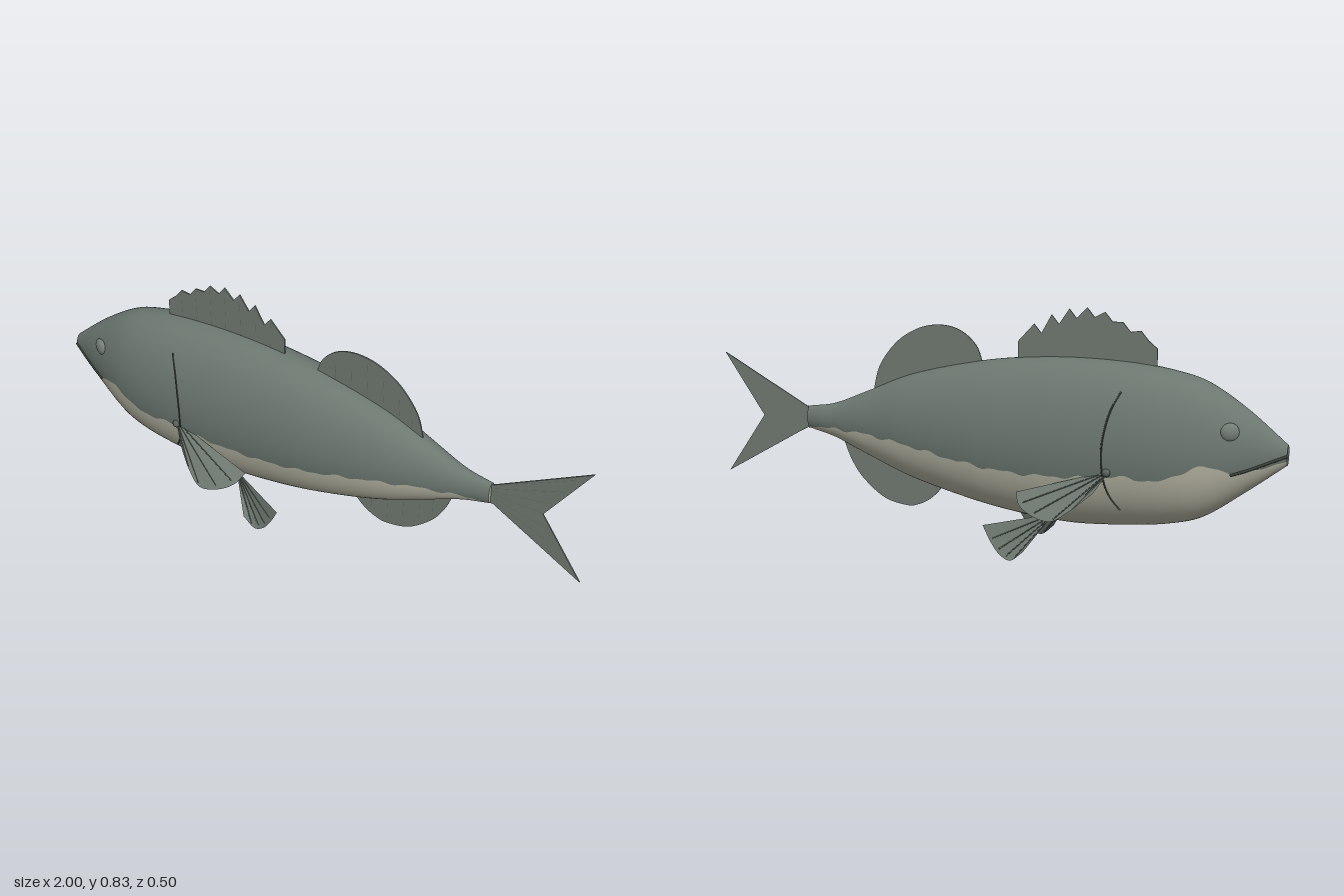
import * as THREE from 'three';

const mat = (name, color, side = THREE.FrontSide) => {
  const m = new THREE.MeshStandardMaterial({ color, side });
  m.name = name;
  return m;
};

// Body stations: x, top, bottom, half width, height of the belly colour line
const STATIONS = [
  [-1, 0.43, 0.365, 0.022, 0.385],
  [-0.87, 0.535, 0.265, 0.08, 0.345],
  [-0.74, 0.615, 0.175, 0.128, 0.365],
  [-0.63, 0.645, 0.142, 0.15, 0.315],
  [-0.5, 0.662, 0.125, 0.159, 0.318],
  [-0.31, 0.668, 0.114, 0.16, 0.302],
  [-0.12, 0.657, 0.13, 0.153, 0.3],
  [0.05, 0.632, 0.16, 0.142, 0.318],
  [0.28, 0.575, 0.22, 0.108, 0.355],
  [0.44, 0.508, 0.282, 0.07, 0.37],
  [0.57, 0.455, 0.335, 0.038, 0.37],
  [0.67, 0.438, 0.36, 0.02, 0.37],
];

// Smooth cubic interpolation of every station column at x
function section(x) {
  const S = STATIONS, n = S.length - 1;
  let i = 0;
  while (i < n - 1 && x > S[i + 1][0]) i++;
  const h = S[i + 1][0] - S[i][0], t = THREE.MathUtils.clamp((x - S[i][0]) / h, 0, 1);
  const slope = (k, c) => {
    const a = S[Math.max(0, k - 1)], b = S[Math.min(n, k + 1)];
    return (b[c] - a[c]) / (b[0] - a[0]);
  };
  const [top, bottom, w, line] = [1, 2, 3, 4].map((c) =>
    (1 + 2 * t) * (1 - t) ** 2 * S[i][c] + t * (1 - t) ** 2 * h * slope(i, c) +
    t * t * (3 - 2 * t) * S[i + 1][c] + t * t * (t - 1) * h * slope(i + 1, c));
  return { top, bottom, w, line, cy: (top + bottom) / 2, ry: (top - bottom) / 2 };
}

// Point on the flank at x, y
function onSkin(x, y, side, lift = 0) {
  const s = section(x), k = (y - s.cy) / s.ry;
  return new THREE.Vector3(x, y, side * (s.w * Math.sqrt(Math.max(0, 1 - k * k)) + lift));
}

// Elliptical loft; each ring has a belly arc and a back arc meeting at the colour line
function bodyGeometry() {
  const NX = 110, NB = 24, NT = 36, N = NB + NT;
  const pos = [], belly = [], back = [];
  for (let i = 0; i <= NX; i++) {
    const x = -1 + 1.67 * i / NX, s = section(x);
    const line = s.line + 0.004 * Math.sin(x * 47) + 0.003 * Math.sin(x * 83);
    const a = Math.acos(THREE.MathUtils.clamp((s.cy - line) / s.ry, -0.95, 0.95));
    for (let j = 0; j < N; j++) {
      const th = j <= NB ? -a + 2 * a * j / NB : a + (2 * Math.PI - 2 * a) * (j - NB) / NT;
      pos.push(x, s.cy - s.ry * Math.cos(th), s.w * Math.sin(th));
    }
  }
  for (let i = 0; i < NX; i++) for (let j = 0; j < N; j++) {
    const k = (j + 1) % N, p = i * N, q = p + N;
    (j < NB ? belly : back).push(p + j, q + j, q + k, p + j, q + k, p + k);
  }
  const g = new THREE.BufferGeometry();
  g.setAttribute('position', new THREE.Float32BufferAttribute(pos, 3));
  g.setIndex([...back, ...belly]);
  g.addGroup(0, back.length, 0);
  g.addGroup(back.length, belly.length, 1);
  g.computeVertexNormals();
  return g;
}

export function createModel() {
  const fish = new THREE.Group();
  fish.name = 'fish';
  const backMat = mat('backGreyGreen', 0x6c7770);
  const bellyMat = mat('bellyCream', 0xb4b3a2);
  const finMat = mat('finGrey', 0x6e7870, THREE.DoubleSide);
  const rayMat = mat('finRayGrey', 0x59625b);
  const eyeMat = mat('eyeGrey', 0x768078);
  const lineMat = mat('darkLine', 0x3a413d);

  const add = (name, geo, material, parent = fish) => {
    const m = new THREE.Mesh(geo, material);
    m.name = name;
    parent.add(m);
    return m;
  };
  const group = (name) => {
    const g = new THREE.Group();
    g.name = name;
    fish.add(g);
    return g;
  };
  const tube = (name, pts, r, material, parent) =>
    add(name, new THREE.TubeGeometry(new THREE.CatmullRomCurve3(pts), 32, r, 6), material, parent);
  const ray = (a, b, parent, r = 0.0028) =>
    add('finRay', new THREE.TubeGeometry(new THREE.LineCurve3(a, b), 1, r, 5), rayMat, parent);
  const V = (x, y, z = 0) => new THREE.Vector3(x, y, z);

  add('body', bodyGeometry(), [backMat, bellyMat]);

  // End caps of the loft
  for (const [name, x, turn, m] of [['snoutTip', -1, -1, backMat], ['tailRoot', 0.67, 1, bellyMat]]) {
    const s = section(x);
    const cap = add(name, new THREE.CircleGeometry(1, 32), m);
    cap.position.set(x, s.cy, 0);
    cap.rotation.y = turn * Math.PI / 2;
    cap.scale.set(s.w, s.ry, 1);
  }

  // Thin upright fins on the centre line
  const plate = (name, pts, smooth) => {
    const g = group(name), shape = new THREE.Shape();
    shape.moveTo(...pts[0]);
    if (smooth) shape.splineThru(pts.slice(1, smooth).map((p) => new THREE.Vector2(...p)));
    pts.slice(smooth || 1).forEach((p) => shape.lineTo(...p));
    const geo = new THREE.ExtrudeGeometry(shape, { depth: 0.005, bevelEnabled: false, curveSegments: 24 });
    add(name + 'Web', geo.translate(0, 0, -0.0025), finMat, g);
    return g;
  };

  // Spiny front dorsal fin
  const tips = [[-0.52, 0.765], [-0.46, 0.79], [-0.4, 0.82], [-0.34, 0.832], [-0.28, 0.825],
    [-0.22, 0.803], [-0.16, 0.77], [-0.105, 0.71]];
  const spiny = [[-0.575, 0.6], [-0.575, 0.71]];
  tips.forEach(([x, y], i) => {
    if (i < 7) spiny.push([x - 0.025, y - 0.03]);
    spiny.push([x, y]);
  });
  spiny.push([-0.105, 0.6]);
  const spinyFin = plate('spinyDorsalFin', spiny);
  tips.slice(0, 7).forEach(([x, y]) => ray(V(x, 0.64), V(x, y - 0.012), spinyFin));

  // Soft rear dorsal fin
  const soft = plate('softDorsalFin', [[0.02, 0.6], [0.022, 0.635], [0.045, 0.69], [0.1, 0.735], [0.17, 0.75],
    [0.25, 0.735], [0.33, 0.685], [0.395, 0.6], [0.42, 0.51], [0.35, 0.5], [0.15, 0.57]], 9);
  [[0.09, 0.7], [0.15, 0.725], [0.21, 0.72], [0.27, 0.7], [0.33, 0.66], [0.38, 0.595]]
    .forEach(([x, y]) => ray(V(x, section(x).top - 0.02), V(x, y), soft));

  // Anal fin
  const anal = plate('analFin', [[0.165, 0.24], [0.17, 0.19], [0.21, 0.145], [0.255, 0.12], [0.3, 0.112],
    [0.385, 0.132], [0.465, 0.195], [0.51, 0.26], [0.54, 0.335], [0.44, 0.33]], 9);
  [[0.24, 0.15], [0.3, 0.135], [0.36, 0.145], [0.42, 0.18], [0.47, 0.23]]
    .forEach(([x, y]) => ray(V(x, section(x).bottom + 0.02), V(x, y), anal));

  // Forked tail fin
  const tail = plate('tailFin', [[0.66, 0.435], [0.68, 0.437], [0.998, 0.61], [0.85, 0.392], [0.998, 0.178],
    [0.68, 0.36], [0.66, 0.36]]);
  [[0.95, 0.57], [0.92, 0.51], [0.88, 0.445], [0.85, 0.395], [0.88, 0.34], [0.92, 0.275], [0.95, 0.22]]
    .forEach(([x, y]) => ray(V(0.66, 0.398 + (y - 0.395) * 0.15), V(x, y), tail));

  // Paired fins are fans spread from a root point
  const fan = (name, root, rim, side) => {
    const g = group(name), flip = (p) => V(p[0], p[1], p[2] * side);
    const edge = new THREE.CatmullRomCurve3(rim.map(flip)).getPoints(20), r = flip(root);
    const pos = [];
    for (let i = 0; i < 20; i++) for (const p of [r, edge[i], edge[i + 1]]) pos.push(p.x, p.y, p.z);
    const geo = new THREE.BufferGeometry();
    geo.setAttribute('position', new THREE.Float32BufferAttribute(pos, 3));
    geo.computeVertexNormals();
    add(name + 'Web', geo, finMat, g);
    for (const k of [4, 8, 12, 16]) ray(r, r.clone().lerp(edge[k], 0.95), g, 0.0022);
  };

  for (const [label, side] of [['left', 1], ['right', -1]]) {
    fan(label + 'PectoralFin', [-0.465, 0.335, 0.145],
      [[-0.16, 0.245, 0.172], [-0.18, 0.215, 0.21], [-0.23, 0.19, 0.238], [-0.3, 0.178, 0.248],
        [-0.36, 0.215, 0.225], [-0.42, 0.265, 0.185]], side);
    fan(label + 'PelvicFin', [-0.26, 0.157, 0.083],
      [[-0.04, 0.118, 0.163], [-0.07, 0.06, 0.163], [-0.1, 0.022, 0.163], [-0.135, 0.006, 0.163],
        [-0.18, 0.04, 0.163]], side);

    // Eye, mouth and gill cover edge
    const eye = add(label + 'Eye', new THREE.SphereGeometry(0.03, 24, 16), eyeMat);
    eye.position.copy(onSkin(-0.83, 0.475, side, -0.002));
    eye.rotation.y = -side * 0.4;
    eye.scale.z = 0.5;
    const mouth = [[-1, 0.398], [-0.96, 0.383], [-0.92, 0.367], [-0.88, 0.352], [-0.835, 0.338]];
    tube(label + 'Mouth', mouth.map(([x, y]) => onSkin(x, y, side)), 0.005, lineMat);
    const gill = [[-0.487, 0.585], [-0.462, 0.53], [-0.445, 0.46], [-0.438, 0.39], [-0.443, 0.31],
      [-0.46, 0.25], [-0.49, 0.2]];
    tube(label + 'GillEdge', gill.map(([x, y]) => onSkin(x, y, side)), 0.003, lineMat);
    const joint = add(label + 'PectoralJoint', new THREE.SphereGeometry(0.014, 12, 8), rayMat);
    joint.position.copy(onSkin(-0.455, 0.33, side));
  }
  return fish;
}
